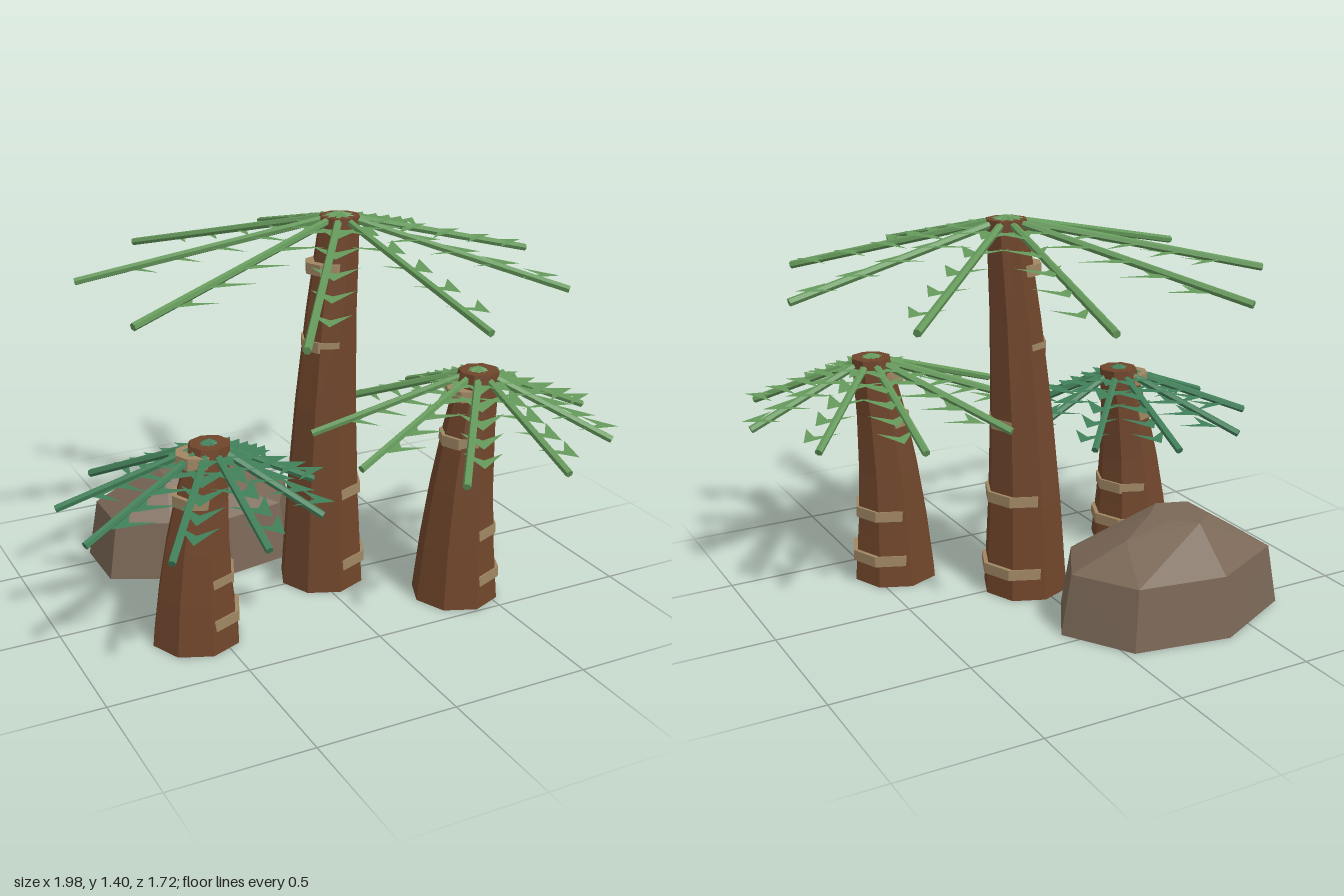
import * as THREE from 'three';
import { ConvexGeometry } from 'three/addons/geometries/ConvexGeometry.js';

const paint = (color, side = THREE.FrontSide) =>
  new THREE.MeshStandardMaterial({ color, flatShading: true, side });
const bark = paint(0x6f452b);
const band = paint(0xa08763);
const stone = paint(0x7a6756);
const lightGreen = paint(0x669a5c, THREE.DoubleSide);
const darkGreen = paint(0x42805a, THREE.DoubleSide);

const BASE_R = 0.16, TOP_R = 0.073, LEAN = 0.07, FRONDS = 9, LEAVES = 5, DROP = 0.205;

function add(parent, name, geometry, material, x = 0, y = 0, z = 0) {
  const mesh = new THREE.Mesh(geometry, material);
  mesh.name = name;
  mesh.position.set(x, y, z);
  parent.add(mesh);
  return mesh;
}

// Tapered trunk whose upper half leans towards +x
function trunkGeometry(height) {
  const g = new THREE.CylinderGeometry(TOP_R, BASE_R, height, 8, 4);
  g.translate(0, height / 2, 0);
  const p = g.attributes.position;
  for (let i = 0; i < p.count; i++) {
    p.setX(i, p.getX(i) + LEAN * Math.pow(Math.max(0, p.getY(i) / height), 2.2));
  }
  g.computeVertexNormals();
  return g;
}

// Flat arrowhead leaf pair lying in the horizontal plane, pointing along +x
function leafGeometry(size) {
  const s = new THREE.Shape();
  s.moveTo(0.055 * size, 0);
  s.lineTo(-0.085 * size, 0.07 * size);
  s.lineTo(-0.02 * size, 0);
  s.lineTo(-0.085 * size, -0.07 * size);
  s.closePath();
  return new THREE.ShapeGeometry(s).rotateX(-Math.PI / 2);
}

function palm(name, x, z, height, reach, green) {
  const tree = new THREE.Group();
  tree.name = name;
  tree.position.set(x, 0, z);
  add(tree, 'trunk', trunkGeometry(height), bark);

  // Bark bands stay upright while the trunk leans, so each shows on one side
  for (let i = 0; i < 5; i++) {
    const y = 0.1 + i * 0.2 * height;
    const r = THREE.MathUtils.lerp(BASE_R, TOP_R, y / height) - 0.004;
    add(tree, 'barkBand', new THREE.CylinderGeometry(r, r, 0.04, 8), band, 0.02, y, 0);
  }

  // Fronds: a stem with leaf pairs along it
  const crown = new THREE.Vector3(LEAN, height, 0);
  for (let i = 0; i < FRONDS; i++) {
    const a = (i / FRONDS) * Math.PI * 2;
    const dir = new THREE.Vector3(Math.cos(a), 0, -Math.sin(a));
    const frond = new THREE.Group();
    frond.name = 'frond';
    tree.add(frond);

    const tip = dir.clone().multiplyScalar(reach).setY(height - DROP);
    const along = tip.clone().sub(crown);
    const stem = add(frond, 'stem', new THREE.CylinderGeometry(0.014, 0.014, along.length(), 6), green);
    stem.position.copy(crown).addScaledVector(along, 0.5);
    stem.quaternion.setFromUnitVectors(new THREE.Vector3(0, 1, 0), along.clone().normalize());

    for (let k = 1; k <= LEAVES; k++) {
      const t = k / (LEAVES + 1);
      const leaf = add(frond, 'leafPair', leafGeometry(1.5 - 0.65 * t), green);
      leaf.position.copy(crown).addScaledVector(dir, reach * t);
      leaf.position.y -= DROP * t;
      leaf.rotation.y = a;
    }
  }
  return tree;
}

// Faceted boulder: base outline, slightly smaller shoulder, small flat top
function boulder() {
  const outline = [[-0.7, -0.58], [-0.38, -0.74], [-0.03, -0.68], [0.12, -0.44],
    [-0.01, -0.21], [-0.26, -0.165], [-0.5, -0.23], [-0.7, -0.33]];
  const top = [[-0.45, -0.5], [-0.37, -0.55], [-0.29, -0.48], [-0.26, -0.4],
    [-0.34, -0.32], [-0.45, -0.36]];
  const pts = [];
  for (const [x, z] of outline) {
    pts.push(new THREE.Vector3(x, 0, z));
    pts.push(new THREE.Vector3(-0.3 + (x + 0.3) * 0.91, 0.22, -0.45 + (z + 0.45) * 0.9));
  }
  for (const [x, z] of top) pts.push(new THREE.Vector3(x, 0.36, z));
  pts.push(new THREE.Vector3(-0.12, 0.315, -0.47));
  return new ConvexGeometry(pts);
}

export function createModel() {
  const model = new THREE.Group();
  model.name = 'palmGrove';
  model.add(palm('tallPalm', 0.03, -0.01, 1.385, 0.86, lightGreen));
  model.add(palm('mediumPalm', 0.41, 0.33, 0.86, 0.53, lightGreen));
  model.add(palm('smallPalm', -0.57, 0.205, 0.715, 0.455, darkGreen));
  add(model, 'boulder', boulder(), stone);
  return model;
}
